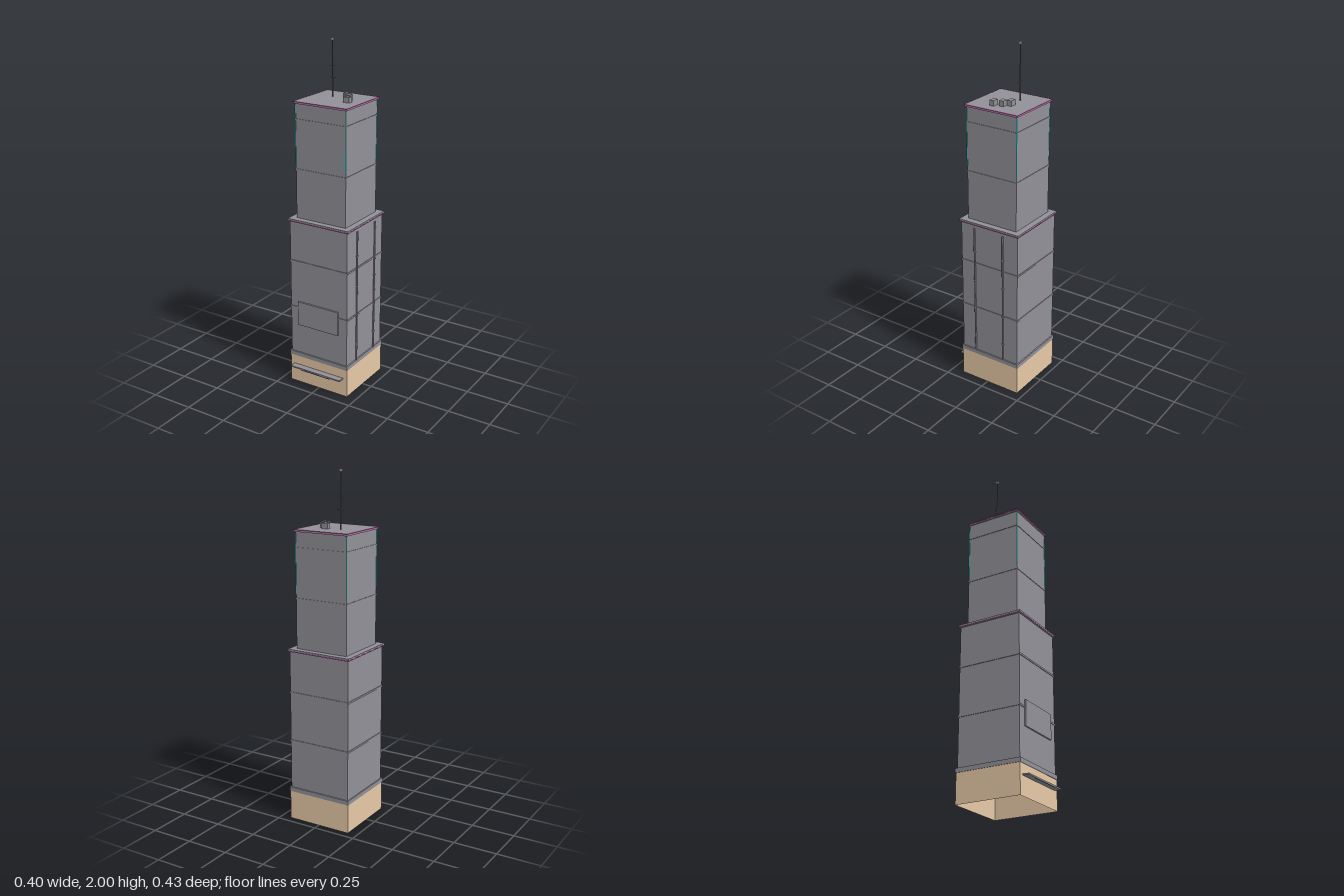
import * as THREE from 'three';

export function createModel() {
  const model = new THREE.Group();
  model.name = 'skyscraper';
  const mat = (name, color, side = THREE.FrontSide) => {
    const m = new THREE.MeshStandardMaterial({ color, side });
    m.name = name;
    return m;
  };
  const concrete = mat('concrete grey', 0x929198);
  const stone = mat('tan stone', 0xe8caa8, THREE.DoubleSide);
  const metal = mat('dark metal', 0x66666c);
  const magenta = mat('magenta trim', 0xcc40a6);
  const teal = mat('teal light', 0x26c4c4);

  // Centre line of the tower
  const CX = -0.002, CZ = -0.0165;

  const add = (name, geo, material, x, y, z, parent = model) => {
    const mesh = new THREE.Mesh(geo, material);
    mesh.name = name;
    mesh.position.set(x, y, z);
    parent.add(mesh);
    return mesh;
  };
  // Box given by its bottom and top heights
  const box = (name, material, x, z, w, d, y0, y1, parent) =>
    add(name, new THREE.BoxGeometry(w, y1 - y0, d), material, x, (y0 + y1) / 2, z, parent);
  // Square storey about the centre line
  const storey = (name, material, half, y0, y1) =>
    box(name, material, CX, CZ, half * 2, half * 2, y0, y1);
  // Four thin bars around a square
  const trim = (name, half, y0, y1) => {
    const g = new THREE.Group();
    g.name = name;
    model.add(g);
    const t = 0.003;
    for (const s of [-1, 1]) {
      box('trimBar', magenta, CX, CZ + s * (half - t / 2), half * 2, t, y0, y1, g);
      box('trimBar', magenta, CX + s * (half - t / 2), CZ, t, half * 2 - 2 * t, y0, y1, g);
    }
  };

  // Base: four walls, open underneath
  const base = new THREE.Group();
  base.name = 'base';
  model.add(base);
  const B = 0.193, BH = 0.17;
  for (let i = 0; i < 4; i++) {
    const a = (i * Math.PI) / 2;
    const wall = add('baseWall', new THREE.PlaneGeometry(B * 2, BH), stone,
      CX + Math.sin(a) * B, BH / 2, CZ + Math.cos(a) * B, base);
    wall.rotation.y = a;
  }

  // Tower volumes and ledges
  storey('baseLedge', concrete, 0.196, 0.17, 0.195);
  storey('lowerTower', concrete, 0.188, 0.195, 1.003);
  storey('lowerLedge', concrete, 0.1965, 1.003, 1.018);
  storey('upperTower', concrete, 0.16, 1.018, 1.668);
  storey('roofSlab', concrete, 0.167, 1.668, 1.68);

  // Horizontal bands
  for (const y of [0.48, 0.765]) storey('lowerBand', concrete, 0.192, y - 0.005, y + 0.005);
  for (const y of [1.3, 1.58]) storey('upperBand', concrete, 0.163, y - 0.005, y + 0.005);

  // Bright edging on both ledges
  trim('lowerTrim', 0.198, 1.006, 1.009);
  trim('roofTrim', 0.1695, 1.675, 1.6805);

  // Lit strips on the upper corners
  for (const sx of [-1, 1]) for (const sz of [-1, 1])
    box('cornerLight', teal, CX + sx * 0.16, CZ + sz * 0.16, 0.005, 0.005, 1.33, 1.66);

  // Pipes with joints on the left side
  for (const z of [0.078, -0.112]) {
    add('pipe', new THREE.CylinderGeometry(0.005, 0.005, 0.79, 8), concrete, 0.1935, 0.59, z);
    for (const y of [0.3, 0.48, 0.66, 0.84])
      add('pipeJoint', new THREE.CylinderGeometry(0.0065, 0.0065, 0.008, 8), concrete, 0.1935, y, z);
  }

  // Blank panel and canopy on the front
  box('frontPanel', concrete, -0.004, 0.175, 0.27, 0.012, 0.375, 0.52);
  box('canopy', concrete, -0.003, 0.1945, 0.334, 0.038, 0.106, 0.114);
  box('canopyStrip', metal, -0.003, 0.213, 0.196, 0.003, 0.102, 0.107);

  // Roof units
  for (const [x, z] of [[0.039, -0.0615], [0.067, -0.0295], [0.088, 0.017]])
    box('roofUnit', concrete, x, z, 0.038, 0.028, 1.68, 1.71);

  // Antenna mast with crossbars and a tip
  const AX = -0.053, AZ = -0.056;
  add('mast', new THREE.CylinderGeometry(0.0025, 0.0045, 0.31, 8), metal, AX, 1.835, AZ);
  [[1.785, 0.044], [1.85, 0.032], [1.915, 0.02]].forEach(([y, w]) =>
    box('crossbar', metal, AX, AZ, w, 0.002, y - 0.001, y + 0.001));
  box('mastTip', stone, AX, AZ, 0.013, 0.013, 1.988, 2.0);

  return model;
}
